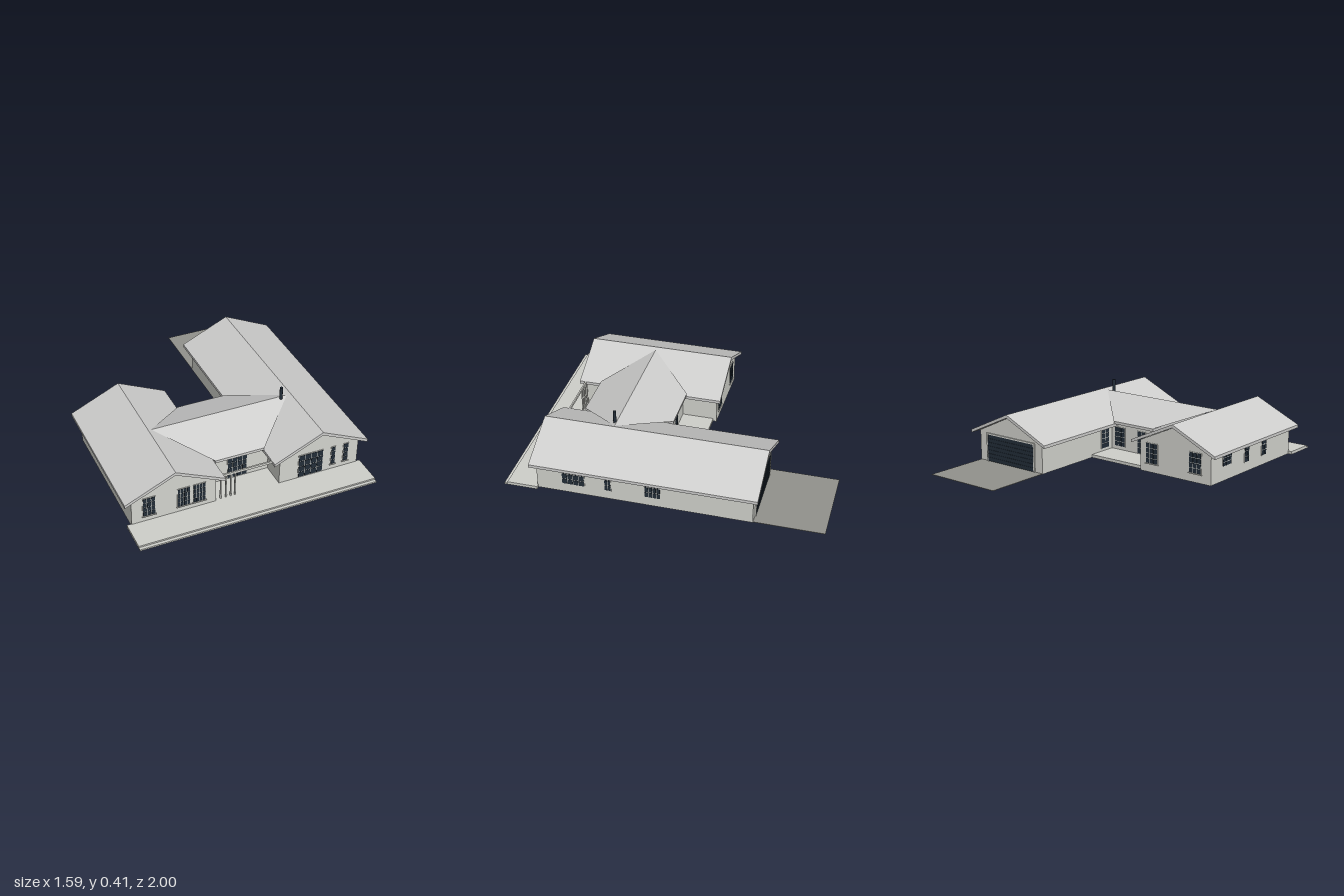
import * as THREE from 'three';

const mat = (name, color, side = THREE.FrontSide) => {
  const m = new THREE.MeshStandardMaterial({ color, side });
  m.name = name;
  return m;
};

export function createModel() {
  const wallMat = mat('pale render', 0xd2d3cd);
  const roofMat = mat('grey roofing', 0xcdcdcc, THREE.DoubleSide);
  const pavingMat = mat('paving', 0xcecfca);
  const driveMat = mat('driveway asphalt', 0x92928c);
  const glassMat = mat('dark glass', 0x222d38);
  const house = new THREE.Group();
  house.name = 'house';

  const add = (name, geometry, material, parent = house) => {
    const m = new THREE.Mesh(geometry, material);
    m.name = name;
    parent.add(m);
    return m;
  };

  // Box given by its minimum and maximum on each axis
  const box = (name, material, x0, x1, y0, y1, z0, z1, parent) => {
    const m = add(name, new THREE.BoxGeometry(x1 - x0, y1 - y0, z1 - z0), material, parent);
    m.position.set((x0 + x1) / 2, (y0 + y1) / 2, (z0 + z1) / 2);
    return m;
  };

  // Profile in x and y, extruded from z0 to z1
  const prism = (name, material, points, z0, z1) => {
    const shape = new THREE.Shape(points.map(([x, y]) => new THREE.Vector2(x, y)));
    const g = new THREE.ExtrudeGeometry(shape, { depth: z1 - z0, bevelEnabled: false });
    g.translate(0, 0, z0);
    return add(name, g, material);
  };

  // Gabled wings: pentagonal walls under a chevron roof
  const wing = (name, cx, back) => {
    prism(name + 'Walls', wallMat, [
      [cx - 0.268, 0], [cx + 0.268, 0], [cx + 0.268, 0.2], [cx, 0.324], [cx - 0.268, 0.2],
    ], back + 0.035, 0.79);
    prism(name + 'Roof', roofMat, [
      [cx - 0.317, 0.18], [cx, 0.325], [cx + 0.317, 0.18],
      [cx + 0.317, 0.2], [cx, 0.346], [cx - 0.317, 0.2],
    ], back, 0.82);
  };
  wing('leftWing', 0.477, -0.6);
  wing('rightWing', -0.478, -0.145);

  // Central hall between the wings
  box('hallWalls', wallMat, -0.215, 0.215, 0, 0.203, 0.12, 0.63);
  box('hallEaves', roofMat, -0.162, 0.162, 0.2, 0.218, 0.082, 0.668);
  const slope = (zEave, flip) => {
    const g = new THREE.BufferGeometry();
    g.setAttribute('position', new THREE.Float32BufferAttribute([
      -0.162, 0.22, zEave, 0.162, 0.22, zEave, 0.456, 0.336, 0.375, -0.456, 0.336, 0.375,
    ], 3));
    g.setIndex(flip ? [0, 2, 1, 0, 3, 2] : [0, 1, 2, 0, 2, 3]);
    g.computeVertexNormals();
    return g;
  };
  add('hallRoofFront', slope(0.67, false), roofMat);
  add('hallRoofBack', slope(0.08, true), roofMat);

  // Chimney flue
  const flue = add('chimney', new THREE.CylinderGeometry(0.01, 0.01, 0.12, 12), glassMat);
  flue.position.set(0.409, 0.352, 0.387);

  // Terrace, step, courtyard and driveway
  box('terrace', pavingMat, -0.775, 0.77, 0, 0.02, 0.785, 0.98);
  box('terraceStep', pavingMat, -0.775, 0.77, 0, 0.01, 0.98, 1);
  box('entryPaving', pavingMat, -0.212, 0.212, 0, 0.02, 0.63, 0.79);
  box('courtyard', pavingMat, -0.212, 0.212, 0, 0.02, -0.088, 0.12);
  box('driveway', driveMat, 0.21, 0.742, 0, 0.003, -1, -0.565);

  // Entry screen: beam on slim posts
  box('entryBeam', wallMat, -0.21, 0.19, 0.184, 0.2, 0.774, 0.784);
  box('entryBeamEnd', wallMat, 0.18, 0.21, 0.184, 0.2, 0.774, 0.784);
  for (const x of [-0.175, -0.14, -0.109, -0.081]) {
    box('entryPost', wallMat, x - 0.004, x + 0.004, 0.02, 0.19, 0.775, 0.783);
  }

  // Glazing: thin frame, separate panes and an optional sill
  const glazing = (name, w, y0, y1, cols, rows, x, z, turn, sill = false) => {
    const g = new THREE.Group();
    g.name = name;
    const h = y1 - y0, bar = 0.004;
    box('frame', wallMat, -w / 2 - bar, w / 2 + bar, -bar, h + bar, 0, 0.003, g);
    const pw = (w + bar) / cols, ph = (h + bar) / rows;
    for (let i = 0; i < cols; i++) {
      for (let j = 0; j < rows; j++) {
        const px = -w / 2 + i * pw, py = j * ph;
        box('pane', glassMat, px, px + pw - bar, py, py + ph - bar, 0.002, 0.005, g);
      }
    }
    if (sill) box('sill', wallMat, -w / 2 - 0.008, w / 2 + 0.008, -0.007, -0.002, 0, 0.009, g);
    g.position.set(x, y0, z);
    g.rotation.y = turn;
    house.add(g);
  };
  const quarter = Math.PI / 2;

  // Front windows and doors: width, bottom, columns, rows, x, z
  for (const [w, y0, cols, rows, x] of [
    [0.075, 0.06, 3, 4, -0.637], [0.075, 0.06, 4, 4, -0.418], [0.075, 0.06, 4, 4, -0.318],
    [0.025, 0.06, 1, 4, 0.573], [0.03, 0.06, 1, 4, 0.66],
  ]) glazing('frontWindow', w, y0, 0.187, cols, rows, x, 0.79, 0, true);
  glazing('terraceDoors', 0.162, 0.028, 0.187, 4, 4, 0.419, 0.79, 0);
  glazing('entranceDoors', 0.125, 0.028, 0.175, 4, 4, 0, 0.63, 0);

  // Side windows of the long wing
  for (const [w, z, cols] of [[0.14, 0.555, 4], [0.037, 0.335, 2], [0.095, 0.053, 4]]) {
    glazing('leftSideWindow', w, 0.065, 0.176, cols, 3, 0.745, z, quarter);
  }
  // Side windows of the short wing
  for (const [w, z, y0, cols] of [[0.09, 0.06, 0.095, 3], [0.045, 0.28, 0.065, 2], [0.05, 0.48, 0.065, 2]]) {
    glazing('rightSideWindow', w, y0, 0.17, cols, 3, -0.746, z, -quarter);
  }
  // Back windows
  for (const x of [-0.3, -0.63]) glazing('backWindow', 0.085, 0.06, 0.187, 3, 4, x, -0.11, 2 * quarter, true);
  glazing('courtyardWindow', 0.08, 0.045, 0.17, 3, 4, 0.14, 0.12, 2 * quarter);
  glazing('courtyardDoor', 0.06, 0.025, 0.17, 2, 4, -0.04, 0.12, 2 * quarter);
  glazing('courtyardSideWindow', 0.07, 0.04, 0.17, 2, 4, 0.209, 0.045, -quarter);

  // Garage door in horizontal panels
  box('garageDoor', glassMat, 0.28, 0.675, 0.004, 0.18, -0.571, -0.563);
  for (let i = 1; i < 7; i++) {
    const y = 0.004 + i * 0.025;
    box('garageDoorRib', glassMat, 0.28, 0.675, y - 0.0015, y + 0.0015, -0.574, -0.57);
  }
  for (const [x0, x1, y0, y1] of [[0.27, 0.28, 0, 0.19], [0.675, 0.685, 0, 0.19], [0.28, 0.675, 0.18, 0.19]]) {
    box('garageTrim', wallMat, x0, x1, y0, y1, -0.573, -0.563);
  }

  return house;
}
